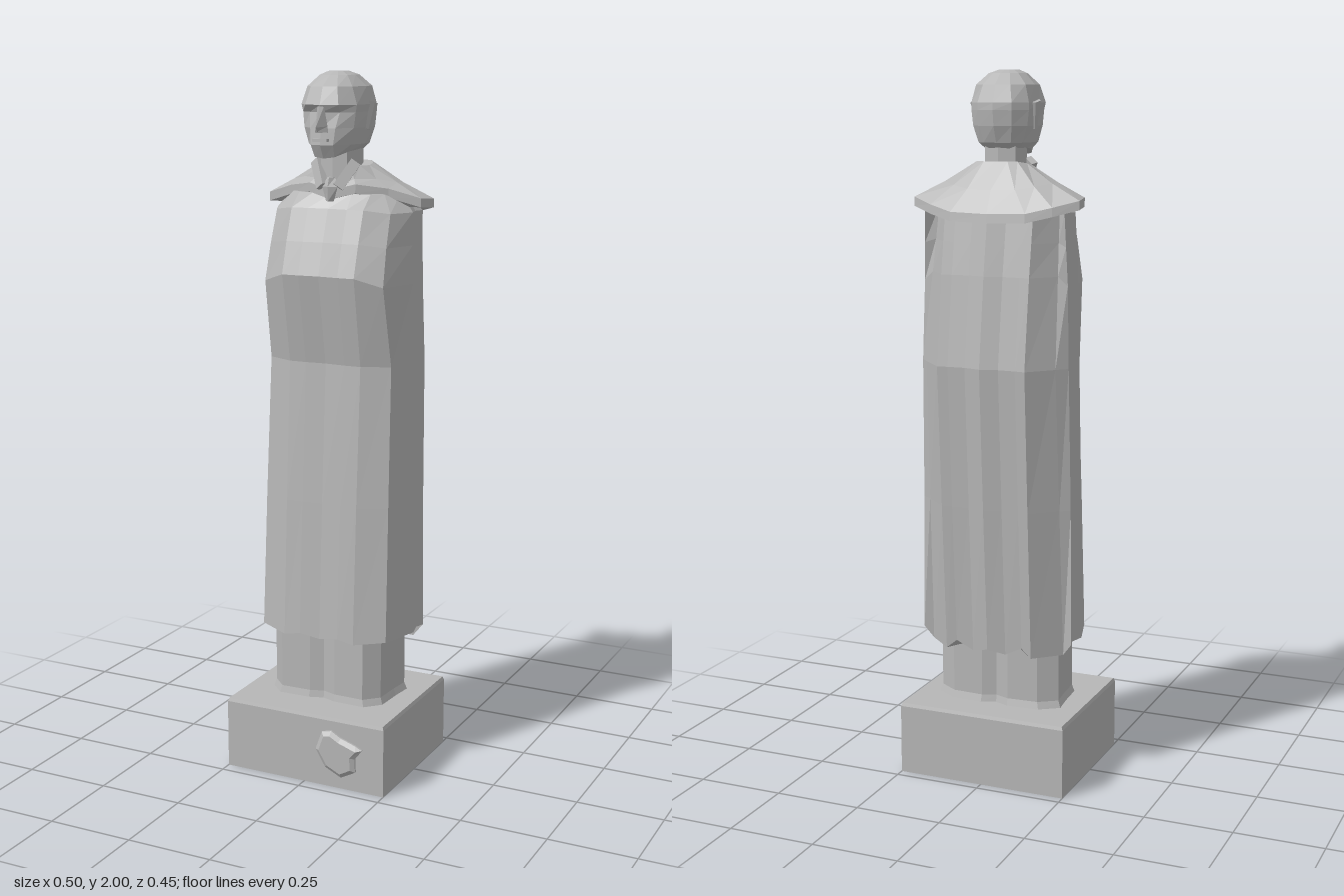
import * as THREE from 'three';

const stone = new THREE.MeshStandardMaterial({ color: 0xb6b6b6, flatShading: true });
stone.name = 'grey stone';

// Skins a stack of rings; each ring is half a section [x, y, z] from front centre to back centre, mirrored in x.
function loft(name, halves) {
  const rings = halves.map((h) => [...h, ...h.slice(1, -1).reverse().map(([x, y, z]) => [-x, y, z])]);
  const pos = [];
  const tri = (...p) => p.forEach((v) => pos.push(...v));
  const n = rings[0].length;
  for (let i = 0; i < rings.length - 1; i++) {
    for (let j = 0; j < n; j++) {
      const k = (j + 1) % n;
      const [a, b, c, d] = [rings[i][j], rings[i][k], rings[i + 1][k], rings[i + 1][j]];
      tri(a, b, c);
      tri(a, c, d);
    }
  }
  const middle = (r) => [0, 1, 2].map((q) => r.reduce((s, p) => s + p[q], 0) / n);
  const low = rings[0], top = rings[rings.length - 1];
  for (let j = 0; j < n; j++) {
    const k = (j + 1) % n;
    tri(low[k], low[j], middle(low));
    tri(top[j], top[k], middle(top));
  }
  const geo = new THREE.BufferGeometry();
  geo.setAttribute('position', new THREE.Float32BufferAttribute(pos, 3));
  geo.computeVertexNormals();
  return solid(name, geo);
}

function solid(name, geo) {
  const mesh = new THREE.Mesh(geo, stone);
  mesh.name = name;
  return mesh;
}

// Level ring from [x, z] pairs
const ring = (y, pts) => pts.map(([x, z]) => [x, y, z]);

// Coat section: y, front z, back z, side x, side shift in z, drop of the corners, ragged hem
function coatRing(y, f, b, w, s, drop = 0, hem = 0) {
  return [
    [0, y, f - 0.005], [0.06, y + hem * 0.4, f], [0.11, y, f], [w - 0.035, y - drop, f - 0.035],
    [w, y - drop, s], [w - 0.012, y - drop, s - 0.045], [w - 0.003, y - drop, s - 0.075],
    [w - 0.03, y - hem, Math.max(b + 0.075, s - 0.105)], [0.13, y - hem, b + 0.008],
    [0.1, y, b + 0.012], [0.05, y - hem, b + 0.014], [0, y - hem * 0.5, b],
  ];
}

function createModel() {
  const statue = new THREE.Group();
  statue.name = 'statue';

  // Pedestal with slightly bevelled top
  const block = ring(0, [[0, 0.214], [0.25, 0.214], [0.25, -0.223], [0, -0.223]]);
  const atY = (pts, y, k = 1) => pts.map(([x, , z]) => [x * k, y, z * k]);
  statue.add(loft('pedestal', [atY(block, 0), atY(block, 0.2), atY(block, 0.21, 0.985)]));

  // Irregular emblem on the pedestal front
  const outline = [[0.04, 0.11], [0.07, 0.06], [0.12, 0.036], [0.165, 0.06], [0.163, 0.1],
    [0.186, 0.13], [0.165, 0.14], [0.12, 0.155], [0.09, 0.172], [0.06, 0.165]];
  const emblem = solid('emblem', new THREE.ExtrudeGeometry(
    new THREE.Shape(outline.map(([x, y]) => new THREE.Vector2(x, y))),
    { depth: 0.006, bevelThickness: 0.009, bevelSize: 0.012, bevelOffset: -0.012, bevelSegments: 1 }));
  emblem.position.z = 0.214;
  statue.add(emblem);

  // Trouser block under the coat
  const legs = [[0, 0.085], [0.04, 0.098], [0.13, 0.1], [0.17, 0.06], [0.175, -0.02],
    [0.182, -0.08], [0.13, -0.115], [0.04, -0.12], [0, -0.105]];
  statue.add(loft('legs', [
    ring(0.205, legs.map(([x, z]) => [x * 1.05, z * 1.06])), ring(0.23, legs), ring(0.43, legs),
  ]));

  // Long coat
  statue.add(loft('coat', [
    coatRing(0.4, 0.122, -0.172, 0.232, -0.03, -0.01, 0.025),
    coatRing(0.8, 0.102, -0.198, 0.228, -0.03),
    coatRing(1.2, 0.078, -0.222, 0.223, -0.04),
    coatRing(1.45, 0.122, -0.19, 0.217, -0.035, 0.025),
    coatRing(1.54, 0.094, -0.175, 0.213, -0.04, 0.01),
    coatRing(1.63, 0.062, -0.16, 0.21, -0.045, 0.01),
    ring(1.67, [[0, 0.03], [0.06, 0.03], [0.11, 0.015], [0.14, -0.01], [0.17, -0.05], [0.17, -0.07],
      [0.17, -0.09], [0.15, -0.1], [0.12, -0.12], [0.1, -0.12], [0.05, -0.12], [0, -0.12]]),
  ]));

  // Shoulder cape, drooping at the back
  const rim = [[0, 1.655, 0.045], [0.07, 1.672, 0.03], [0.15, 1.66, -0.015], [0.235, 1.635, -0.042],
    [0.245, 1.63, -0.11], [0.18, 1.612, -0.145], [0.11, 1.595, -0.168], [0, 1.592, -0.172]];
  statue.add(loft('cape', [
    rim,
    rim.map(([x, y, z]) => [x, y + 0.025, z * 0.98]),
    [[0, 1.69, 0.03], [0.06, 1.71, 0.015], [0.11, 1.71, -0.02], [0.16, 1.7, -0.05],
      [0.16, 1.698, -0.09], [0.12, 1.69, -0.12], [0.07, 1.682, -0.138], [0, 1.68, -0.14]],
    [[0, 1.7, 0.02], [0.045, 1.74, 0.01], [0.065, 1.745, -0.01], [0.08, 1.745, -0.04],
      [0.078, 1.75, -0.07], [0.06, 1.755, -0.095], [0.035, 1.755, -0.105], [0, 1.755, -0.108]],
  ]));

  // Neck
  const neck = [[0, 0.03], [0.04, 0.02], [0.058, -0.03], [0.045, -0.075], [0, -0.088]];
  statue.add(loft('neck', [ring(1.68, neck), ring(1.82, neck)]));

  // Open shirt collar and tie knot
  for (const side of [1, -1]) {
    const flap = solid(side > 0 ? 'leftCollar' : 'rightCollar', new THREE.BoxGeometry(0.03, 0.085, 0.02));
    flap.position.set(side * 0.042, 1.722, 0.025);
    flap.rotation.set(-0.25, side * 0.5, -side * 0.5);
    statue.add(flap);
  }
  statue.add(loft('tieKnot', [
    ring(1.65, [[0, 0.058], [0.012, 0.045], [0, 0.02]]),
    ring(1.69, [[0, 0.06], [0.024, 0.045], [0, 0.015]]),
    ring(1.715, [[0, 0.05], [0.012, 0.035], [0, 0.01]]),
  ]));

  // Head, from jaw to crown
  statue.add(loft('head', [
    [[0, 1.768, 0.085], [0.03, 1.772, 0.078], [0.05, 1.785, 0.03], [0.058, 1.79, -0.02],
      [0.052, 1.79, -0.06], [0.03, 1.79, -0.08], [0, 1.79, -0.086]],
    ring(1.805, [[0, 0.105], [0.034, 0.094], [0.064, 0.045], [0.072, -0.02], [0.066, -0.07], [0.04, -0.095], [0, -0.102]]),
    ring(1.85, [[0, 0.1], [0.038, 0.088], [0.075, 0.05], [0.083, -0.02], [0.08, -0.075], [0.048, -0.108], [0, -0.12]]),
    ring(1.892, [[0, 0.096], [0.045, 0.075], [0.08, 0.048], [0.088, -0.02], [0.085, -0.075], [0.05, -0.113], [0, -0.126]]),
    ring(1.912, [[0, 0.106], [0.05, 0.094], [0.084, 0.05], [0.092, -0.02], [0.085, -0.075], [0.05, -0.113], [0, -0.125]]),
    ring(1.96, [[0, 0.088], [0.04, 0.08], [0.068, 0.045], [0.08, -0.02], [0.073, -0.07], [0.04, -0.098], [0, -0.108]]),
    ring(1.99, [[0, 0.045], [0.022, 0.04], [0.042, 0.022], [0.05, -0.012], [0.044, -0.05], [0.025, -0.066], [0, -0.072]]),
    ring(2, [[0, 0.02], [0.012, 0.018], [0.022, 0.01], [0.026, -0.01], [0.022, -0.03], [0.012, -0.038], [0, -0.04]]),
  ]));

  // Nose and lower lip
  statue.add(loft('nose', [
    [[0, 1.842, 0.122], [0.02, 1.838, 0.095], [0, 1.838, 0.08]],
    [[0, 1.853, 0.13], [0.018, 1.855, 0.095], [0, 1.855, 0.08]],
    ring(1.908, [[0, 0.108], [0.01, 0.1], [0, 0.08]]),
  ]));
  const lip = solid('mouth', new THREE.BoxGeometry(0.045, 0.008, 0.02));
  lip.position.set(0, 1.818, 0.099);
  statue.add(lip);

  // Ears
  for (const side of [1, -1]) {
    const ear = solid(side > 0 ? 'leftEar' : 'rightEar', new THREE.CylinderGeometry(0.024, 0.012, 0.075, 5));
    ear.scale.x = 0.45;
    ear.position.set(side * 0.086, 1.88, -0.03);
    ear.rotation.set(-0.2, 0, -side * 0.12);
    statue.add(ear);
  }

  return statue;
}

export { createModel };
